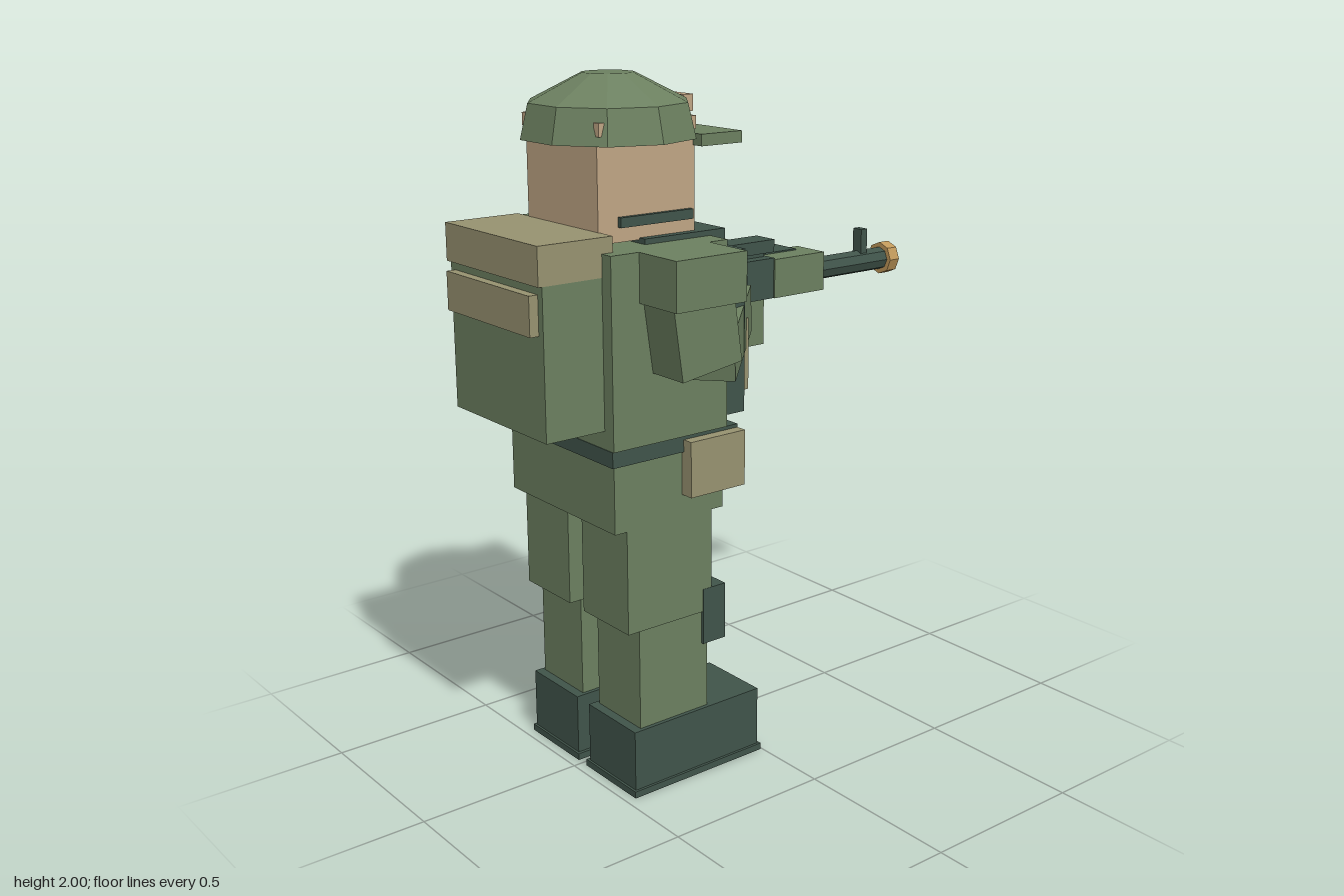
import * as THREE from 'three';

const mat = (name, color) => {
  const m = new THREE.MeshStandardMaterial({ color, flatShading: true });
  m.name = name;
  return m;
};

export function createModel() {
  const root = new THREE.Group();
  root.name = 'soldier';
  const green = mat('field green', 0x6c8060);
  const dark = mat('dark green', 0x40544a);
  const tan = mat('canvas tan', 0x979270);
  const skin = mat('skin', 0xbfa584);
  const brass = mat('brass', 0xc0985a);

  const add = (name, geometry, material) => {
    const m = new THREE.Mesh(geometry, material);
    m.name = name;
    root.add(m);
    return m;
  };
  // Box from its min and max on each axis
  const box = (name, material, x0, x1, y0, y1, z0, z1) => {
    const m = add(name, new THREE.BoxGeometry(x1 - x0, y1 - y0, z1 - z0), material);
    m.position.set((x0 + x1) / 2, (y0 + y1) / 2, (z0 + z1) / 2);
    return m;
  };
  // The same box on both sides of the body
  const pair = (name, material, x0, x1, y0, y1, z0, z1) => {
    box(name + 'Right', material, x0, x1, y0, y1, z0, z1);
    box(name + 'Left', material, x0, x1, y0, y1, -z1, -z0);
  };
  // Box limb running between two points
  const limb = (name, a, b, w, h) => {
    const p = new THREE.Vector3(...a), q = new THREE.Vector3(...b);
    const m = add(name, new THREE.BoxGeometry(w, h, p.distanceTo(q)), green);
    m.position.copy(p).add(q).multiplyScalar(0.5);
    m.lookAt(q);
    return m;
  };

  // Legs
  pair('sole', dark, -0.47, -0.005, 0, 0.02, 0.02, 0.265);
  pair('boot', dark, -0.463, -0.013, 0.02, 0.2, 0.03, 0.257);
  pair('shin', green, -0.435, -0.195, 0.2, 0.5, 0.042, 0.245);
  pair('kneePad', dark, -0.215, -0.135, 0.4, 0.568, 0.035, 0.253);
  pair('thigh', green, -0.477, -0.185, 0.5, 0.88, 0.035, 0.252);
  box('hips', green, -0.517, -0.145, 0.803, 0.995, -0.253, 0.253);

  // Belt
  box('belt', dark, -0.527, -0.1, 0.995, 1.04, -0.262, 0.262);
  box('buckle', tan, -0.1, -0.075, 1.0, 1.05, -0.045, 0.045);
  pair('hipPouch', tan, -0.29, -0.1, 0.87, 1.03, 0.22, 0.295);

  // Torso and vest
  box('torso', green, -0.525, -0.14, 1.04, 1.565, -0.265, 0.265);
  box('vest', dark, -0.145, -0.07, 1.07, 1.53, -0.255, 0.255);
  box('collar', dark, -0.36, -0.088, 1.525, 1.58, -0.19, 0.19);
  for (const z of [-0.16, 0, 0.16])
    box('vestPouch', tan, -0.075, -0.028, 1.12, 1.325, z - 0.062, z + 0.062);

  // Backpack
  box('backpack', green, -0.708, -0.52, 1.09, 1.503, -0.225, 0.225);
  box('bedroll', tan, -0.72, -0.49, 1.503, 1.608, -0.226, 0.226);
  box('packPocket', tan, -0.735, -0.705, 1.372, 1.48, -0.204, 0.204);

  // Head
  box('head', skin, -0.493, -0.175, 1.575, 1.85, -0.166, 0.166);
  pair('chinStrap', dark, -0.43, -0.19, 1.615, 1.642, 0.16, 0.18);
  box('nose', skin, -0.18, -0.132, 1.705, 1.775, -0.035, 0.035);
  box('mouth', tan, -0.18, -0.158, 1.66, 1.682, -0.045, 0.045);
  pair('eye', dark, -0.175, -0.166, 1.782, 1.806, 0.075, 0.108);

  // Ten-sided helmet
  const profile = [[0, 1.83], [0.245, 1.83], [0.222, 1.925], [0.072, 2], [0, 2]]
    .map(([r, y]) => new THREE.Vector2(r, y));
  add('helmet', new THREE.LatheGeometry(profile, 10), green).position.x = -0.337;
  box('brim', green, -0.18, -0.04, 1.81, 1.842, -0.203, 0.203);
  box('helmetBadge', skin, -0.125, -0.092, 1.886, 1.932, -0.055, 0.055);
  for (const x of [-0.487, -0.19])
    pair('helmetRivet', skin, x - 0.009, x + 0.009, 1.855, 1.89, 0.158, 0.18);

  // Shoulders and right arm on the grip
  pair('shoulder', green, -0.435, -0.203, 1.43, 1.565, 0.2, 0.422);
  limb('rightUpperArm', [-0.325, 1.46, 0.325], [-0.295, 1.25, 0.325], 0.14, 0.2);
  limb('rightForearm', [-0.25, 1.27, 0.33], [0.0, 1.33, 0.1], 0.13, 0.14);
  box('rightHand', dark, -0.04, 0.04, 1.28, 1.42, 0.04, 0.135);

  // Left arm reaching forward to the handguard
  limb('leftUpperArm', [-0.275, 1.55, -0.335], [-0.08, 1.34, -0.335], 0.145, 0.15);
  limb('leftForearm', [-0.11, 1.315, -0.335], [0.28, 1.375, -0.125], 0.14, 0.14);
  box('leftHand', dark, 0.235, 0.357, 1.3, 1.44, -0.153, -0.015);

  // Rifle
  box('stock', green, -0.1, 0.03, 1.33, 1.43, -0.045, 0.045);
  box('receiver', dark, 0.0, 0.21, 1.32, 1.44, -0.055, 0.055);
  box('topCover', dark, -0.05, 0.235, 1.45, 1.488, -0.055, 0.025);
  box('coverMount', dark, 0.0, 0.2, 1.43, 1.455, -0.03, 0.02);
  box('shoulderClasp', skin, -0.072, -0.05, 1.452, 1.488, -0.083, 0.083);
  box('grip', dark, -0.032, 0.025, 1.187, 1.33, -0.03, 0.03);
  box('magazine', green, 0.1, 0.175, 1.185, 1.325, -0.05, 0.05);
  box('handguard', green, 0.208, 0.403, 1.32, 1.436, -0.06, 0.06);
  box('frontSight', dark, 0.597, 0.622, 1.395, 1.476, -0.018, 0.018);
  const tube = (name, material, r, x0, x1) => {
    const m = add(name, new THREE.CylinderGeometry(r, r, x1 - x0, 8), material);
    m.rotation.set(0, 0, -Math.PI / 2);
    m.position.set((x0 + x1) / 2, 1.373, 0);
  };
  tube('barrel', dark, 0.035, 0.4, 0.7);
  tube('muzzle', brass, 0.05, 0.695, 0.733);
  tube('bore', dark, 0.034, 0.7, 0.735);

  return root;
}
